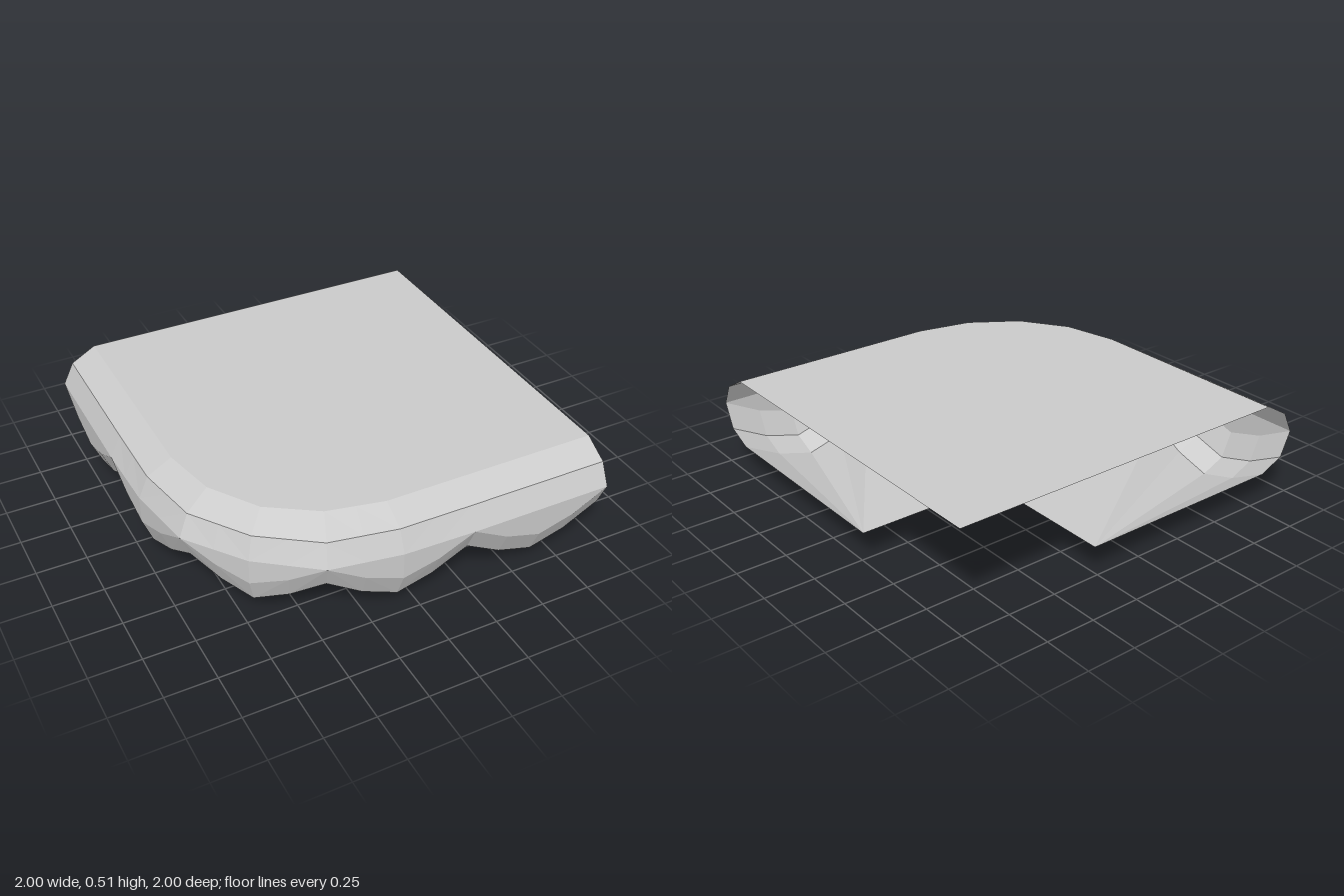
import * as THREE from 'three';

const material = new THREE.MeshStandardMaterial({ color: 0xcccccc, flatShading: true, side: THREE.DoubleSide });

// Plan curves [x, z] from the front end to the middle of the rounded corner
const crown = [[1, 0.82], [0.63, 0.82], [0.27, 0.82], [-0.09, 0.82], [-0.37, 0.76], [-0.605, 0.605]];
const shoulder = [[1, 0.945], [0.63, 0.945], [0.27, 0.945], [-0.09, 0.942], [-0.42, 0.88], [-0.69, 0.69]];
const outer = [[1, 1], [0.63, 1], [0.27, 1], [-0.09, 0.99], [-0.44, 0.93], [-0.72, 0.72]];

// Rim rows from top to bottom; the lower three follow the scallops
const rows = [
  { plan: crown, y: 0.51 },
  { plan: shoulder, y: 0.44 },
  { plan: outer, y: 0.33 },
  { plan: outer, y: 0.33, scallop: true },
  { plan: shoulder, y: 0.205, scallop: true },
  { plan: crown, y: 0.15, scallop: true },
];
const lobeDepth = [0.15, 0.14, 0.13, 0.14, 0.15];
const lobeShape = [0, 0.65, 1, 0.65];

// Mirror a plan about the corner diagonal and add a midpoint to every span
function fullPlan(half) {
  const keys = [...half, ...half.slice(0, -1).reverse().map(([x, z]) => [-z, -x])];
  const points = [];
  keys.forEach(([x, z], i) => {
    points.push([x, z]);
    const next = keys[i + 1];
    if (next) points.push([(x + next[0]) / 2, (z + next[1]) / 2]);
  });
  return points;
}

function rowPoints({ plan, y, scallop }) {
  return fullPlan(plan).map(([x, z], i) => {
    const drop = scallop ? lobeShape[i % 4] * (lobeDepth[Math.floor(i / 4)] ?? 0) : 0;
    return [x, y - drop, z];
  });
}

function meshFromTriangles(name, triangles) {
  const geometry = new THREE.BufferGeometry();
  geometry.setAttribute('position', new THREE.Float32BufferAttribute(triangles.flat(2), 3));
  geometry.computeVertexNormals();
  const mesh = new THREE.Mesh(geometry, material);
  mesh.name = name;
  return mesh;
}

export function createModel() {
  const group = new THREE.Group();
  group.name = 'scallopedCorner';
  const grid = rows.map(rowPoints);
  const top = grid[0];
  const bottom = grid[grid.length - 1];
  const last = top.length - 1;

  // Flat deck, fanned from its square corner
  const deck = [];
  for (let i = 0; i < last; i++) deck.push([[1, 0.51, -1], top[i + 1], top[i]]);
  group.add(meshFromTriangles('deck', deck));

  // Rounded rim; rows two and three meet at the notches
  const rim = [];
  for (let r = 0; r < grid.length - 1; r++) {
    for (let i = 0; i < last; i++) {
      const a = grid[r][i], b = grid[r][i + 1], c = grid[r + 1][i + 1], d = grid[r + 1][i];
      const same = (p, q) => p.every((v, k) => v === q[k]);
      // Split each quad along the diagonal that keeps the scallops symmetric
      const tris = i % 4 < 2 ? [[a, b, c], [a, c, d]] : [[a, b, d], [b, c, d]];
      rim.push(...tris.filter(([p, q, s]) => !same(p, q) && !same(q, s) && !same(p, s)));
    }
  }
  group.add(meshFromTriangles('scallopedRim', rim));

  // Underside: fans to the inner corner and to both ends of the inner edge
  const inner = [0.27, 0.15, -0.27];
  const frontEnd = [1, 0.15, -0.27];
  const backEnd = [0.27, 0.15, -1];
  const underside = [[frontEnd, bottom[4], inner], [inner, bottom[last - 4], backEnd]];
  for (let i = 0; i < last; i++) {
    const apex = i < 4 ? frontEnd : i < last - 4 ? inner : backEnd;
    underside.push([apex, bottom[i], bottom[i + 1]]);
  }
  group.add(meshFromTriangles('underside', underside));

  return group;
}
